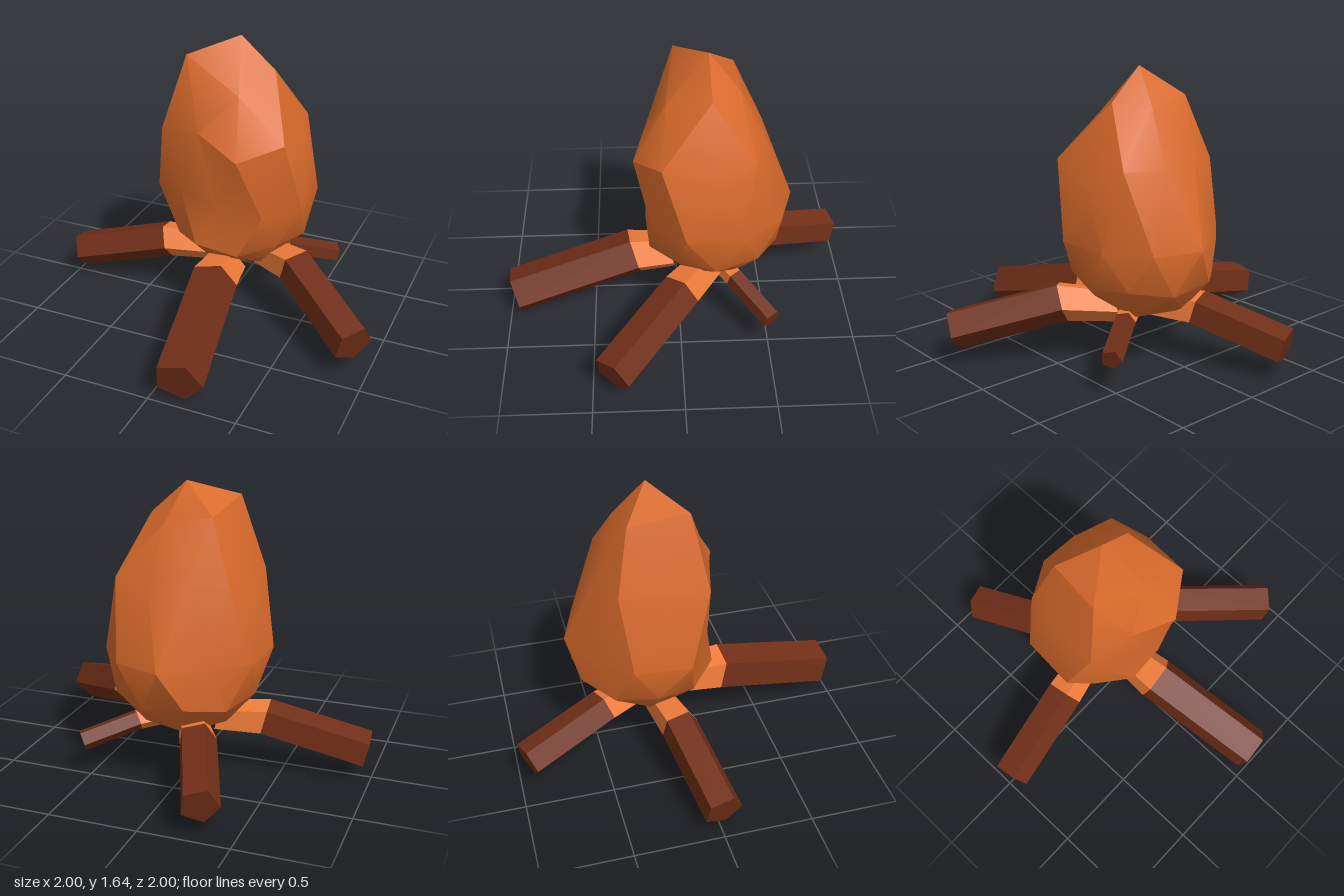
import * as THREE from 'three';
import { toCreasedNormals } from 'three/addons/utils/BufferGeometryUtils.js';
import { ConvexGeometry } from 'three/addons/geometries/ConvexGeometry.js';

const V = (a) => new THREE.Vector3(...a);
const material = (color) => new THREE.MeshStandardMaterial({ color });

// Spots where the flame departs from a plain stretched sphere
const FLAME_POINTS = [
  [0.04, 1.66, -0.16],
  [0.24, 1.48, -0.17], [0.12, 1.39, 0.07], [-0.21, 1.57, 0.02], [-0.16, 1.5, -0.31], [0.10, 1.46, -0.33],
  [0.18, 1.08, 0.25], [0.40, 1.16, 0.10], [-0.33, 1.15, 0.10], [-0.08, 1.18, 0.165],
  [0.44, 1.08, -0.2], [0.36, 1.16, -0.40], [0.14, 1.15, -0.48], [-0.08, 1.18, -0.47], [-0.28, 1.15, -0.39], [-0.33, 1.17, -0.2],
  [0.04, 0.75, 0.18], [0.30, 0.73, 0.16], [-0.21, 0.77, 0.12], [0.47, 0.73, -0.03], [-0.42, 0.73, -0.02], [-0.22, 0.73, -0.51],
  [-0.09, 0.5, 0.19], [0.16, 0.46, 0.17], [-0.27, 0.46, 0.03], [0.43, 0.49, -0.2],
].map(V);

// Faceted sphere, pole up, stretched above its middle, then pulled to the spots
function flameGeometry() {
  const geo = new THREE.IcosahedronGeometry(1, 1);
  geo.rotateZ(-Math.atan(2 / (1 + Math.sqrt(5))));
  const pos = geo.attributes.position;
  const v = new THREE.Vector3();
  for (let i = 0; i < pos.count; i++) {
    v.fromBufferAttribute(pos, i);
    v.set(0.03 + v.x * 0.45, 0.73 + v.y * (v.y > 0 ? 0.93 : 0.48), -0.2 + v.z * 0.45);
    const near = FLAME_POINTS.find((p) => p.distanceTo(v) < 0.17);
    if (near) v.copy(near);
    pos.setXYZ(i, v.x, v.y, v.z);
  }
  return toCreasedNormals(geo, Math.PI / 6);
}

// Five corners around a centre, square to the log's direction
function pentagon(center, dir, radius) {
  const side = new THREE.Vector3(0, 1, 0).cross(dir).normalize();
  const up = dir.clone().cross(side);
  return Array.from({ length: 5 }, (_, k) => {
    const a = (k * 72 - 5) * Math.PI / 180;
    return center.clone().addScaledVector(side, radius * Math.cos(a)).addScaledVector(up, radius * Math.sin(a));
  });
}

// Each log: outer end, start of the glowing part, inner tip, radius
const LOGS = [
  ['frontLog', [0.16, 0.146, 0.965], [0.05, 0.33, 0.26], [0.04, 0.33, 0.05], 0.138],
  ['rightwardLog', [0.925, 0.22, 0.39], [0.46, 0.38, 0.0], [0.2, 0.34, -0.16], 0.118],
  ['leftwardLog', [-0.965, 0.177, 0.0], [-0.40, 0.325, -0.09], [-0.14, 0.32, -0.14], 0.112],
  ['backLog', [-0.32, 0.19, -0.95], [-0.13, 0.32, -0.47], [-0.02, 0.32, -0.25], 0.108],
  ['smallLog', [0.54, 0.22, -0.51], [0.28, 0.31, -0.32], [0.1, 0.33, -0.2], 0.06],
];

export function createModel() {
  const model = new THREE.Group();
  model.name = 'campfire';

  const flame = new THREE.Mesh(flameGeometry(), material(0xd96a2b));
  flame.name = 'flame';
  model.add(flame);

  const wood = material(0x702e17);
  const glow = material(0xf07c3a);
  for (const [name, outer, middle, inner, radius] of LOGS) {
    const dir = V(outer).sub(V(middle)).normalize();
    const joint = pentagon(V(middle), dir, radius);
    const log = new THREE.Group();
    log.name = name;
    const bark = new THREE.Mesh(new ConvexGeometry([...pentagon(V(outer), dir, radius), ...joint]), wood);
    bark.name = 'bark';
    const ember = new THREE.Mesh(new ConvexGeometry([...joint, ...pentagon(V(inner), dir, radius * 0.85)]), glow);
    ember.name = 'glowingEnd';
    log.add(bark, ember);
    model.add(log);
  }
  return model;
}
